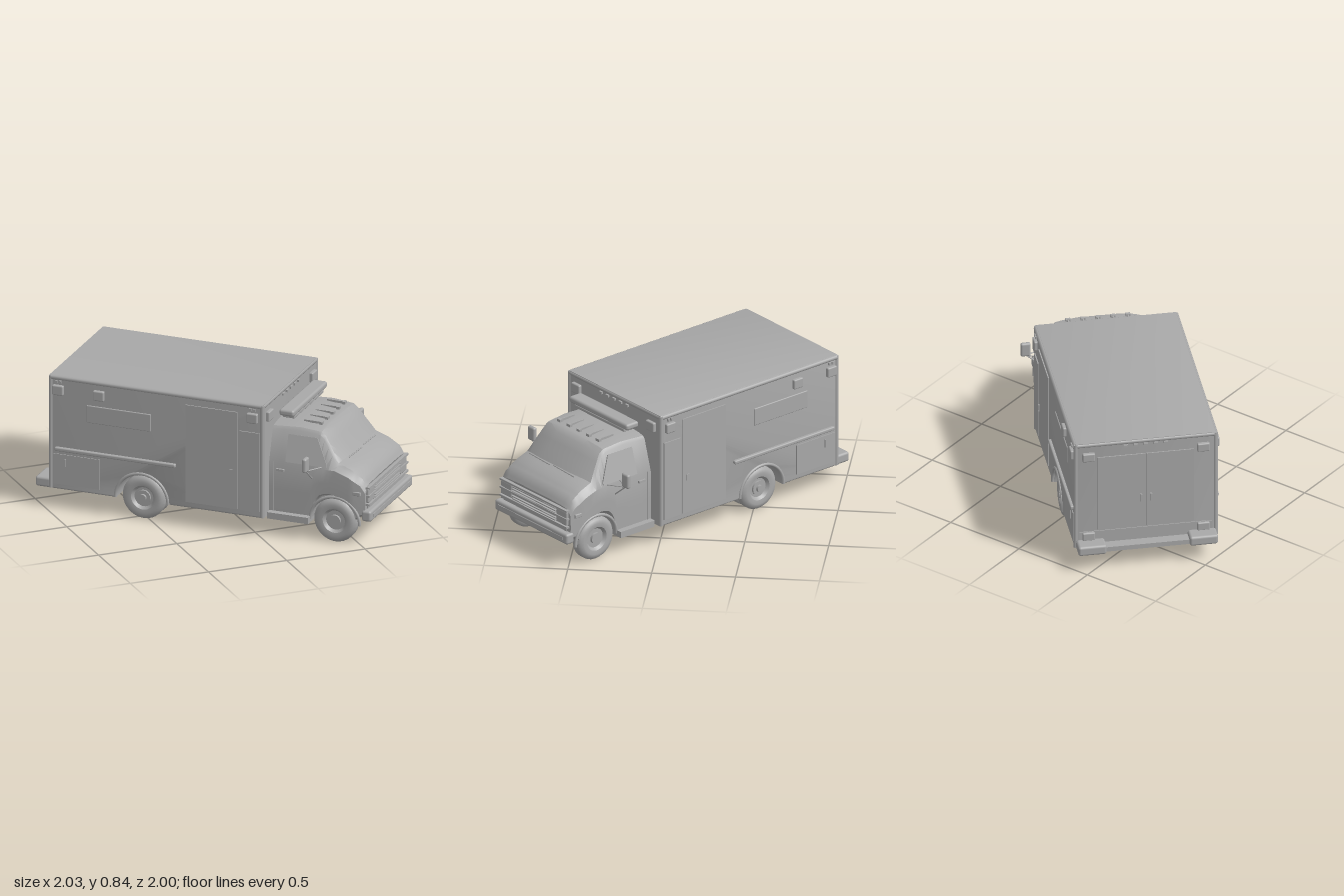
import * as THREE from 'three';
import { RoundedBoxGeometry } from 'three/addons/geometries/RoundedBoxGeometry.js';
import { toCreasedNormals } from 'three/addons/utils/BufferGeometryUtils.js';

export function createModel() {
  const model = new THREE.Group();
  model.name = 'boxAmbulance';
  const truck = new THREE.Group(); // built nose towards +z, then turned
  truck.name = 'truck';
  truck.rotation.y = THREE.MathUtils.degToRad(46);
  model.add(truck);
  const grey = new THREE.MeshStandardMaterial({ color: 0xa8a8a8 });
  grey.name = 'plainGrey';

  const add = (name, geo, x = 0, y = 0, z = 0) => {
    const m = new THREE.Mesh(geo, grey);
    m.name = name;
    m.position.set(x, y, z);
    truck.add(m);
    return m;
  };
  const box = (name, w, h, d, x, y, z) => add(name, new THREE.BoxGeometry(w, h, d), x, y, z);
  const rbox = (name, w, h, d, x, y, z, r = 0.01) =>
    add(name, new RoundedBoxGeometry(w, h, d, 2, r), x, y, z);
  const rod = (name, a, b, r) => add(name, new THREE.TubeGeometry(
    new THREE.LineCurve3(new THREE.Vector3(...a), new THREE.Vector3(...b)), 1, r, 8));
  // side outline (z, y) extruded across the width
  const across = (shape, width, bevel) => {
    const g = new THREE.ExtrudeGeometry(shape, {
      depth: width - 2 * bevel, bevelEnabled: bevel > 0, bevelSize: bevel, bevelThickness: bevel,
      bevelOffset: -bevel, bevelSegments: 3, curveSegments: 20 });
    g.translate(0, 0, bevel - width / 2);
    g.rotateY(-Math.PI / 2);
    return toCreasedNormals(g, 0.6);
  };

  // ---- patient box with rear wheel arches ----
  const W = 0.428, Z0 = -0.938, Z1 = 0.427, RW = -0.35, FW = 0.845, R = 0.135;
  const s = new THREE.Shape();
  s.moveTo(Z0, 0.12);
  s.lineTo(RW - 0.165, 0.12);
  s.absarc(RW, 0.12, 0.165, Math.PI, 0, true);
  s.lineTo(Z1, 0.12);
  s.lineTo(Z1, 0.84);
  s.lineTo(Z0, 0.84);
  s.closePath();
  add('patientBox', across(s, 2 * W, 0.012));
  box('boxFloorCentre', 0.46, 0.18, 0.36, 0, 0.21, RW);

  // ---- cab body: cross-sections along z ----
  const lerp = (keys, z) => {
    if (z <= keys[0][0]) return keys[0][1];
    for (let i = 1; i < keys.length; i++) {
      const [z0, v0] = keys[i - 1], [z1, v1] = keys[i];
      if (z <= z1) return v0 + (v1 - v0) * (z - z0) / (z1 - z0);
    }
    return keys[keys.length - 1][1];
  };
  const topKeys = [[0.42, 0.665], [0.6, 0.675], [0.74, 0.662], [0.775, 0.64], [0.89, 0.495], [0.96, 0.465], [1.02, 0.42], [1.045, 0.375]];
  const roofKeys = [[0.42, 0.275], [0.775, 0.265], [0.89, 0.305], [1.02, 0.31], [1.045, 0.305]];
  const sideKeys = [[0.42, 0.335], [0.98, 0.335], [1.045, 0.322]];
  const bowKeys = [[0.7, 0], [0.775, 0.03], [0.89, 0.045], [1.045, 0.012]];
  const stations = [0.42, 0.5, 0.6, 0.69, 0.695, 0.705, 0.72, 0.74, 0.775, 0.81, 0.845, 0.89, 0.925, 0.96, 0.98, 0.99, 0.997, 1.02, 1.035, 1.045];
  const rings = stations.map(z => {
    const dz = z - FW, top = lerp(topKeys, z), hw = lerp(sideKeys, z), rw = lerp(roofKeys, z);
    const low = Math.abs(dz) < 0.153 ? 0.135 + Math.sqrt(0.153 ** 2 - dz * dz) : dz < 0 ? 0.128 : 0.18;
    const belt = Math.min(0.45, top - 0.045);
    const half = [[hw - 0.02, low], [hw, low + 0.012], [hw + 0.002, (low + belt) / 2], [hw, belt],
      [rw + 0.003, top - 0.025], [rw - 0.012, top - 0.008], [rw - 0.05, top], [rw * 0.45, top + 0.008]];
    const ring = [...half, ...half.slice().reverse().map(([x, y]) => [-x, y])];
    const bow = lerp(bowKeys, z);
    return ring.map(([x, y]) => [x, y, z - bow * (x / 0.335) ** 2]);
  });
  const n = rings[0].length, pos = rings.flat(2), idx = [];
  for (let i = 0; i < rings.length - 1; i++) for (let j = 0; j < n; j++) {
    const a = i * n + j, b = i * n + (j + 1) % n;
    idx.push(a, b, a + n, b, b + n, a + n);
  }
  const last = (rings.length - 1) * n;
  for (let j = 0; j < n / 2 - 1; j++) { // end caps, in strips between mirrored points
    const a = j, b = j + 1, c = n - 2 - j, d = n - 1 - j;
    idx.push(a, c, b, a, d, c, last + a, last + b, last + c, last + a, last + c, last + d);
  }
  const cab = new THREE.BufferGeometry();
  cab.setAttribute('position', new THREE.Float32BufferAttribute(pos, 3));
  cab.setIndex(idx);
  add('cabBody', toCreasedNormals(cab, 0.5));
  box('engineBay', 0.36, 0.2, 0.34, 0, 0.23, FW);

  // ---- front end ----
  rbox('frontBumper', 0.67, 0.068, 0.06, 0, 0.19, 1.045, 0.015);
  box('bumperStrip', 0.6, 0.02, 0.006, 0, 0.19, 1.076);
  box('frontValance', 0.58, 0.05, 0.03, 0, 0.24, 1.025);
  [0.255, 0.308, 0.36].forEach(y => box('grilleFrame', 0.62, 0.012, 0.024, 0, y, 1.045));
  for (let i = 0; i < 6; i++) box('grilleBar', 0.4, 0.006, 0.016, 0, 0.268 + i * 0.0155, 1.045);
  // wipers
  for (const x of [-0.13, 0.09]) rod('wiper', [x - 0.1, 0.505, 0.89], [x + 0.1, 0.5, 0.895], 0.004);

  // ---- roof gear ----
  rbox('lightBar', 0.54, 0.04, 0.095, 0, 0.745, 0.51, 0.015);
  rbox('lightBarBase', 0.46, 0.022, 0.075, 0, 0.713, 0.51, 0.006);
  for (let i = -2; i <= 2; i++) {
    box('roofRib', 0.008, 0.014, 0.12, i * 0.09, 0.681, 0.65);
    box('roofMarker', 0.03, 0.016, 0.02, i * 0.09, 0.682, 0.7);
  }

  // ---- wheels ----
  const tyre = (w) => {
    const h = w / 2;
    const pts = [[0.001, h - 0.022], [0.06, h - 0.022], [0.075, h - 0.004], [0.1, h], [0.122, h - 0.006],
      [R, h - 0.022], [R, -h + 0.022], [0.122, -h + 0.006], [0.1, -h], [0.07, -h + 0.004], [0.001, -h + 0.012]];
    const g = new THREE.LatheGeometry(pts.map(([x, y]) => new THREE.Vector2(x, y)).reverse(), 32);
    return toCreasedNormals(g.rotateZ(-Math.PI / 2), 0.7);
  };
  const hub = (r, w) => new THREE.CylinderGeometry(r, r, w, 16).rotateZ(Math.PI / 2);

  for (const k of [-1, 1]) {
    const turn = m => { if (k < 0) m.rotation.y = Math.PI; return m; };
    turn(add('frontWheel', tyre(0.085), k * 0.3, R, FW));
    add('frontHub', hub(0.035, 0.04), k * 0.315, R, FW);
    turn(add('rearOuterWheel', tyre(0.075), k * 0.375, R, RW));
    turn(add('rearInnerWheel', tyre(0.075), k * 0.29, R, RW));
    add('rearHub', hub(0.022, 0.04), k * 0.398, R, RW);
    add('rearHubFlange', hub(0.045, 0.02), k * 0.392, R, RW);
    // wheel arch lips
    const lip = (name, r, x, z) => add(name,
      new THREE.TorusGeometry(r, 0.01, 8, 24, Math.PI).rotateY(Math.PI / 2), k * x, 0.125, z);
    lip('rearArchLip', 0.168, 0.427, RW);
    lip('frontArchLip', 0.158, 0.33, FW);

    // ---- box sides ----
    const plate = (name, z0, z1, y0, y1, t = 0.008) =>
      box(name, t, y1 - y0, z1 - z0, k * (W + t / 2 - 0.001), (y0 + y1) / 2, (z0 + z1) / 2);
    plate('sideDoor', -0.067, 0.262, 0.16, 0.775);
    plate('frontLocker', 0.278, 0.405, 0.16, 0.66);
    plate('rearLocker', -0.91, -0.615, 0.155, 0.345, 0.006);
    plate('doorHandle', 0.215, 0.235, 0.37, 0.41, 0.014);
    plate('lockerHandle', -0.84, -0.83, 0.27, 0.32, 0.012);
    rbox('sideWindow', 0.012, 0.11, 0.41, k * W, 0.625, -0.495, 0.005);
    rbox('sideRail', 0.03, 0.024, 0.77, k * (W + 0.004), 0.378, -0.515, 0.008);
    for (const z of [-0.88, -0.62, 0.2, 0.36]) {
      if (z !== 0.2) rbox('sideLamp', 0.03, 0.062, 0.07, k * (W + 0.006), 0.752, z, 0.008);
      for (const d of [-0.012, 0.012]) if (z !== 0.2 && z !== -0.62)
        box('markerLamp', 0.016, 0.016, 0.014, k * (W + 0.003), 0.803, z + d);
    }
    for (const z of [Z0 + 0.008, Z1 - 0.008]) {
      add('cornerPost', new THREE.CylinderGeometry(0.014, 0.014, 0.71, 10), k * (W - 0.008), 0.48, z);
    }
    rod('roofRail', [k * (W - 0.006), 0.826, Z0 + 0.01], [k * (W - 0.006), 0.826, Z1 - 0.01], 0.014);
    rbox('frontLamp', 0.075, 0.062, 0.03, k * 0.345, 0.752, Z1 + 0.006, 0.008);

    // ---- box rear ----
    box('rearDoor', 0.288, 0.5, 0.008, k * 0.146, 0.49, Z0 - 0.003);
    box('rearDoorHandle', 0.012, 0.05, 0.02, k * 0.03, 0.44, Z0 - 0.01);
    for (const y of [0.2, 0.75]) rbox('rearLamp', 0.075, 0.055, 0.03, k * 0.345, y, Z0 - 0.006, 0.008);
    rbox('rearBumperEnd', 0.17, 0.062, 0.1, k * 0.335, 0.147, -0.983, 0.015);

    // ---- cab sides ----
    const win = new THREE.Shape([[0.53, 0.462], [0.79, 0.462], [0.79, 0.48], [0.715, 0.63], [0.53, 0.63]]
      .map(([z, y]) => new THREE.Vector2(z, y - 0.462)));
    const glass = add('doorWindow', across(win, 0.008, 0), k * 0.331, 0.462, 0);
    glass.rotation.z = k * 0.305;
    box('cabDoorHandle', 0.016, 0.014, 0.05, k * 0.34, 0.41, 0.5);
    box('doorSeam', 0.004, 0.32, 0.006, k * 0.3375, 0.3, 0.455);
    rbox('sideMarker', 0.014, 0.024, 0.05, k * 0.333, 0.325, 0.985, 0.004);
    box('cabStep', 0.12, 0.04, 0.26, k * 0.315, 0.125, 0.56);
    rbox('headlamp', 0.095, 0.09, 0.024, k * 0.255, 0.308, 1.038, 0.008);
    // mirrors on a bracket
    rbox('mirror', 0.06, 0.09, 0.028, k * 0.435, 0.505, 0.7, 0.012);
    for (const [y, z] of [[0.46, 0.76], [0.38, 0.7], [0.46, 0.66]])
      rod('mirrorArm', [k * 0.33, y, z], [k * 0.43, 0.462, 0.7], 0.004);

    // chassis rails
    box('chassisRail', 0.035, 0.05, 1.75, k * 0.14, 0.115, 0.05);
  }
  for (let i = -2; i <= 2; i++) {
    box('rearTopMarker', 0.025, 0.014, 0.014, i * 0.06, 0.805, Z0 - 0.004);
    box('frontTopMarker', 0.025, 0.014, 0.014, i * 0.06, 0.805, Z1 + 0.004);
  }
  for (const z of [Z0 + 0.008, Z1 - 0.008]) rod('roofEdge', [-W + 0.01, 0.826, z], [W - 0.01, 0.826, z], 0.014);
  box('rearKickPlate', 0.8, 0.08, 0.006, 0, 0.19, Z0 - 0.002);
  box('rearStep', 0.52, 0.03, 0.075, 0, 0.135, -0.97);

  // ---- underbody ----
  rod('driveShaft', [0, 0.1, 0.7], [0, 0.12, RW], 0.018);
  rod('exhaustPipe', [0.08, 0.095, 0.72], [0.08, 0.095, -0.15], 0.012);
  rod('rearAxle', [-0.36, R, RW], [0.36, R, RW], 0.025);
  rod('frontAxle', [-0.28, 0.12, FW], [0.28, 0.12, FW], 0.022);
  add('differential', new THREE.SphereGeometry(0.055, 16, 12), 0, 0.125, RW);
  rbox('gearbox', 0.13, 0.09, 0.25, 0, 0.12, 0.66, 0.02);
  return model;
}
